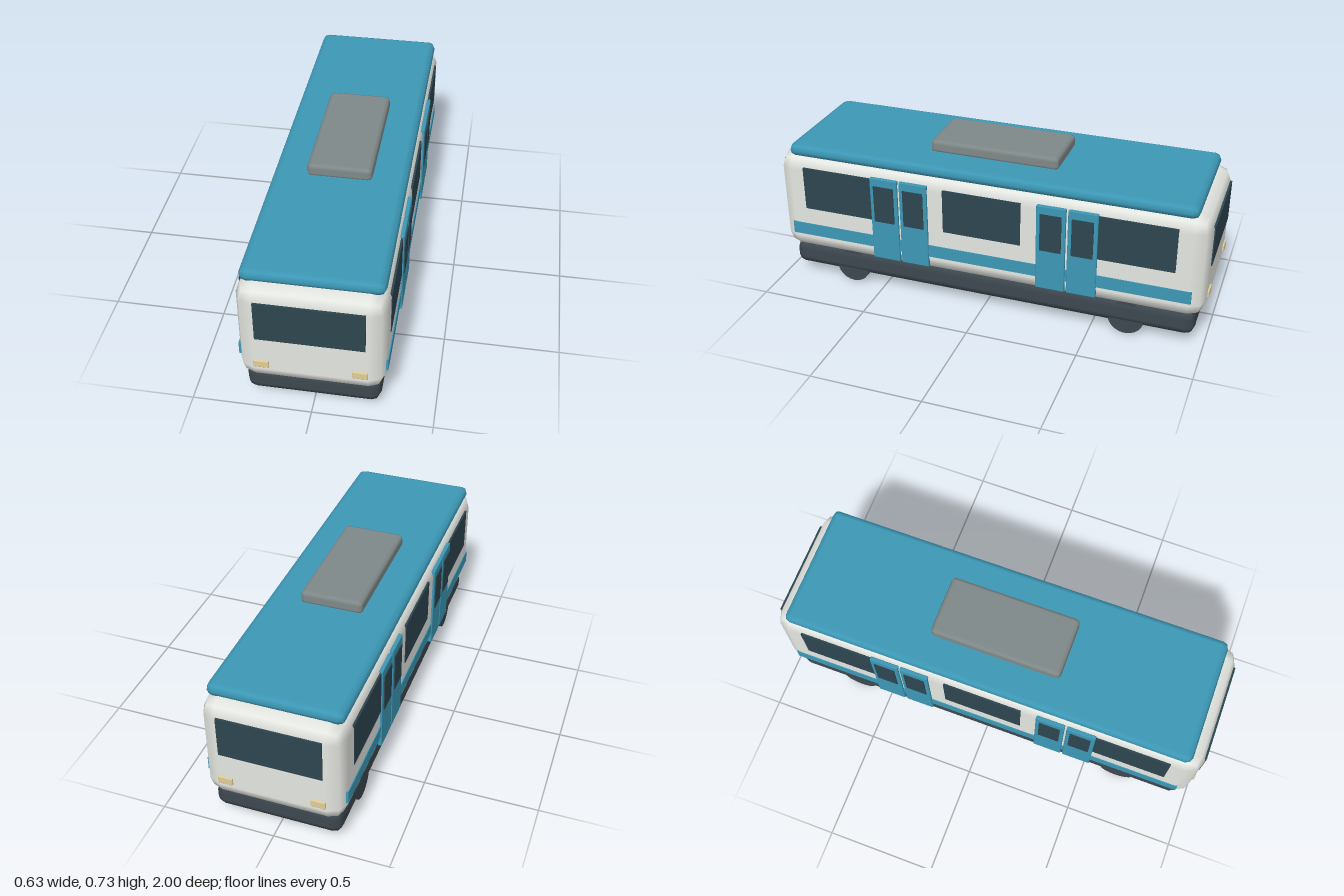
import * as THREE from 'three';
import { RoundedBoxGeometry } from 'three/addons/geometries/RoundedBoxGeometry.js';

const paint = (color) => new THREE.MeshStandardMaterial({ color });

export function createModel() {
  const bus = new THREE.Group();
  bus.name = 'bus';
  const white = paint(0xe4e6e1), teal = paint(0x3c97b5), glass = paint(0x2c454e);
  const dark = paint(0x3c474e), grey = paint(0x7f8888), cream = paint(0xe0cd98);

  // Box from its limits on each axis; a radius gives bevelled edges
  function block(name, material, [x0, x1], [y0, y1], [z0, z1], radius = 0) {
    const size = [x1 - x0, y1 - y0, z1 - z0];
    const geometry = radius
      ? new RoundedBoxGeometry(...size, 1, radius)
      : new THREE.BoxGeometry(...size);
    const mesh = new THREE.Mesh(geometry, material);
    mesh.name = name;
    mesh.position.set((x0 + x1) / 2, (y0 + y1) / 2, (z0 + z1) / 2);
    bus.add(mesh);
  }
  // Limits of a span, mirrored when side is -1
  const span = (side, a, b) => (side > 0 ? [a, b] : [-b, -a]);

  // Main shells
  block('body', white, [-0.3, 0.3], [0.147, 0.632], [-0.992, 0.992], 0.07);
  block('chassis', dark, [-0.278, 0.278], [0.047, 0.167], [-0.955, 0.955], 0.04);
  block('roof', teal, [-0.288, 0.288], [0.617, 0.678], [-0.935, 0.935], 0.03);
  block('roofUnit', grey, [-0.14, 0.14], [0.668, 0.731], [-0.297, 0.297], 0.02);

  for (const s of [1, -1]) {
    // Windscreen and lamps, the same at both ends
    block('windscreen', glass, [-0.22, 0.22], [0.385, 0.572], span(s, 0.98, 0.997));
    for (const e of [1, -1]) {
      block('lamp', cream, span(s, 0.167, 0.231), [0.232, 0.267], span(e, 0.98, 1), 0.004);
    }

    // Side stripe and windows
    block('stripe', teal, span(s, 0.29, 0.304), [0.231, 0.29], [-0.935, 0.935]);
    for (const z of [-0.68, 0, 0.68]) {
      block('sideWindow', glass, span(s, 0.29, 0.303), [0.371, 0.576], [z - 0.18, z + 0.18]);
    }

    // Two double doors on each side
    for (const z of [-0.459, -0.318, 0.318, 0.459]) {
      block('doorLeaf', teal, span(s, 0.29, 0.309), [0.178, 0.585], [z - 0.066, z + 0.066], 0.004);
      block('doorWindow', glass, span(s, 0.3, 0.313), [0.371, 0.548], [z - 0.048, z + 0.048]);
    }

    // Wheels
    for (const z of [-0.657, 0.657]) {
      const wheel = new THREE.Mesh(new THREE.CylinderGeometry(0.081, 0.081, 0.048, 24), dark);
      wheel.name = 'wheel';
      wheel.rotation.z = Math.PI / 2;
      wheel.position.set(s * 0.246, 0.082, z);
      bus.add(wheel);
    }
  }
  return bus;
}
